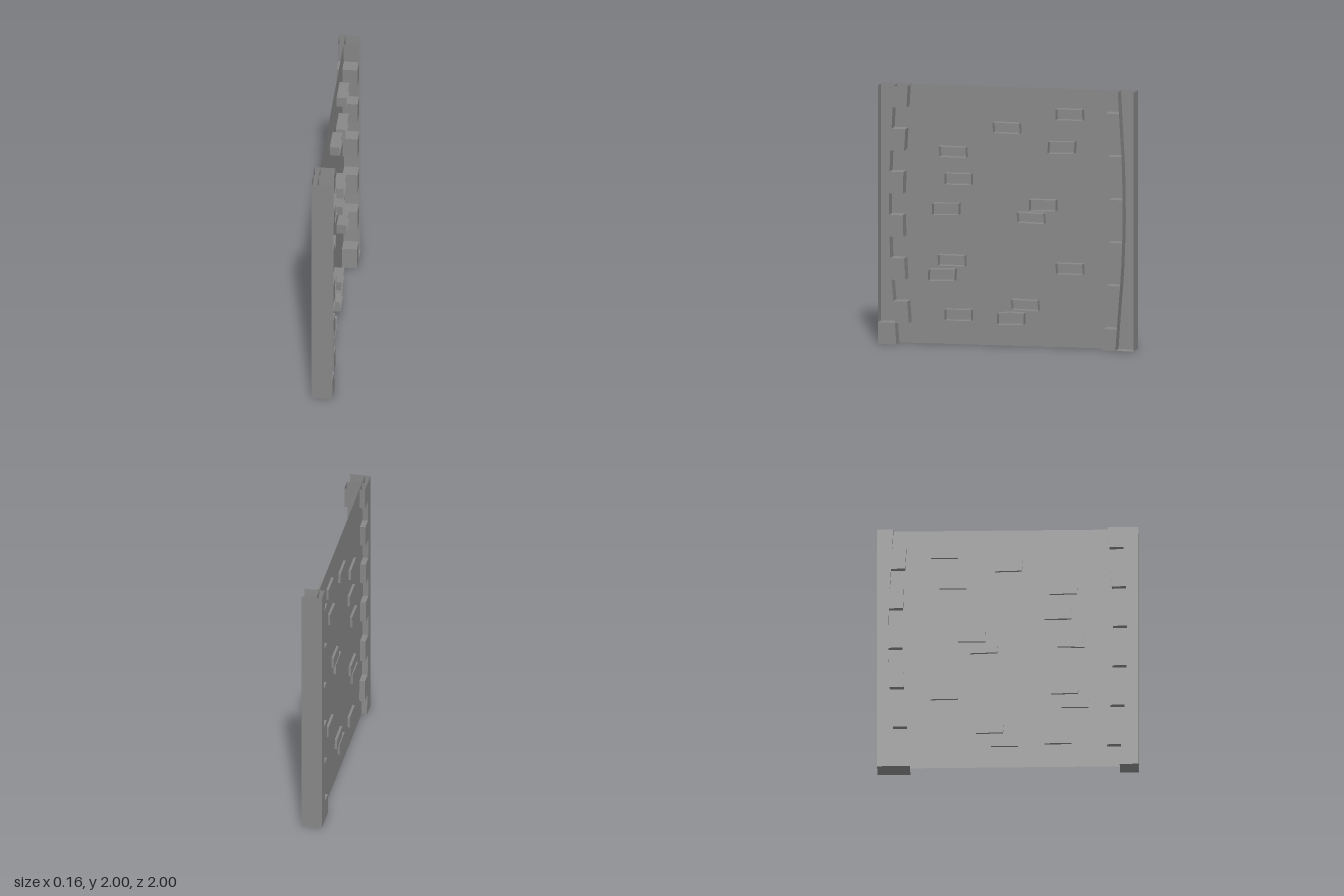
import * as THREE from 'three';

const stone = new THREE.MeshStandardMaterial({ color: 0x868686, side: THREE.DoubleSide, flatShading: true });

const PANEL_X = -0.036;  // plane of the wall sheet
const POST_X = 0.08;     // half thickness of the corner posts
const COURSE = 1 / 6;    // height of one post course

// Flat plate facing sideways, outlined by [z, y] points
function plate(points, x) {
  const shape = new THREE.Shape(points.map(([z, y]) => new THREE.Vector2(z, y)));
  return new THREE.ShapeGeometry(shape).rotateY(-Math.PI / 2).translate(x, 0, 0);
}

// Ribbon following [z, y] points, running from x0 to x1
function band(points, x0, x1, closed = false) {
  const pos = [];
  const count = closed ? points.length : points.length - 1;
  for (let i = 0; i < count; i++) {
    const [z0, y0] = points[i];
    const [z1, y1] = points[(i + 1) % points.length];
    pos.push(x0, y0, z0, x1, y0, z0, x1, y1, z1);
    pos.push(x0, y0, z0, x1, y1, z1, x0, y1, z1);
  }
  const geometry = new THREE.BufferGeometry();
  geometry.setAttribute('position', new THREE.Float32BufferAttribute(pos, 3));
  geometry.computeVertexNormals();
  return geometry;
}

function add(parent, name, geometry) {
  const mesh = new THREE.Mesh(geometry, stone);
  mesh.name = name;
  parent.add(mesh);
}

// Bowed inner edge of a post, one value per course line from the ground up
const EDGE = [0.857, 0.868, 0.88, 0.894, 0.904, 0.91, 0.914, 0.913, 0.91, 0.904, 0.894, 0.885, 0.876];
const BLOCK_DEPTH = 0.108;

// Corner post: end wall, bowed inner wall, back strip and alternating blocks
function createPost(side, firstBlock) {
  const post = new THREE.Group();
  post.name = side > 0 ? 'frontPost' : 'backPost';
  const inner = EDGE.map((z, i) => [side * z, i * COURSE]);
  const end = [[side, 0], [side, 2]];

  add(post, 'endWall', band(end, -POST_X, POST_X));
  add(post, 'innerWall', band(inner, -POST_X, POST_X));
  add(post, 'sideStrip', plate([...inner, [side, 2], [side, 0]], -POST_X));

  for (let i = firstBlock; i < 12; i += 2) {
    const [a, b] = [inner[i], inner[i + 1]];
    const outline = [
      a,
      [a[0] - side * BLOCK_DEPTH, a[1]],
      [b[0] - side * BLOCK_DEPTH, b[1]],
      b,
    ];
    // the topmost block stays open above
    add(post, 'blockSides', band(i === 11 ? outline.slice(0, 3) : outline, -POST_X, POST_X));
    for (const x of [-POST_X, POST_X]) add(post, 'blockFace', plate(outline, x));
  }

  add(post, 'postBase', band([[side, 0], inner[0]], -POST_X, POST_X));
  if (side > 0) {
    // closed foot of the front post
    add(post, 'footFace', plate([[1, 0], inner[0], inner[1], [1, COURSE]], POST_X));
    add(post, 'footTop', band([inner[1], [1, COURSE]], -POST_X, POST_X));
  }
  return post;
}

// Centres [z, y] of the raised bricks
const BRICKS = [
  [-0.485, 1.807], [0.005, 1.69], [-0.42, 1.552], [0.425, 1.493], [0.385, 1.285],
  [-0.275, 1.1], [-0.185, 1.0], [0.485, 1.05], [-0.487, 0.615], [0.435, 0.654],
  [0.515, 0.541], [-0.14, 0.325], [-0.025, 0.215], [0.385, 0.234],
];

// Hollow brick pushed through the sheet, open towards +x
function createBrick([z, y], index) {
  const brick = new THREE.Group();
  brick.name = 'brick';
  const skew = 0.006 * Math.sin(index * 2.4);
  const outline = [
    [z - 0.105, y - 0.042], [z + 0.103, y - 0.042 + skew],
    [z + 0.105 + skew, y + 0.042], [z - 0.103 + skew, y + 0.042 - skew],
  ];
  // one brick has a peaked top
  if (index === 12) outline.splice(3, 0, [z, y + 0.052]);
  add(brick, 'brickSides', band(outline, -0.055, 0.04, true));
  add(brick, 'brickBack', plate(outline, -0.055));
  return brick;
}

export function createModel() {
  const model = new THREE.Group();
  model.name = 'wallSection';
  add(model, 'wallSheet', plate([[-1, 0], [1, 0], [1, 2], [-1, 2]], PANEL_X));
  model.add(createPost(1, 1), createPost(-1, 0));
  BRICKS.forEach((centre, i) => model.add(createBrick(centre, i)));
  return model;
}
